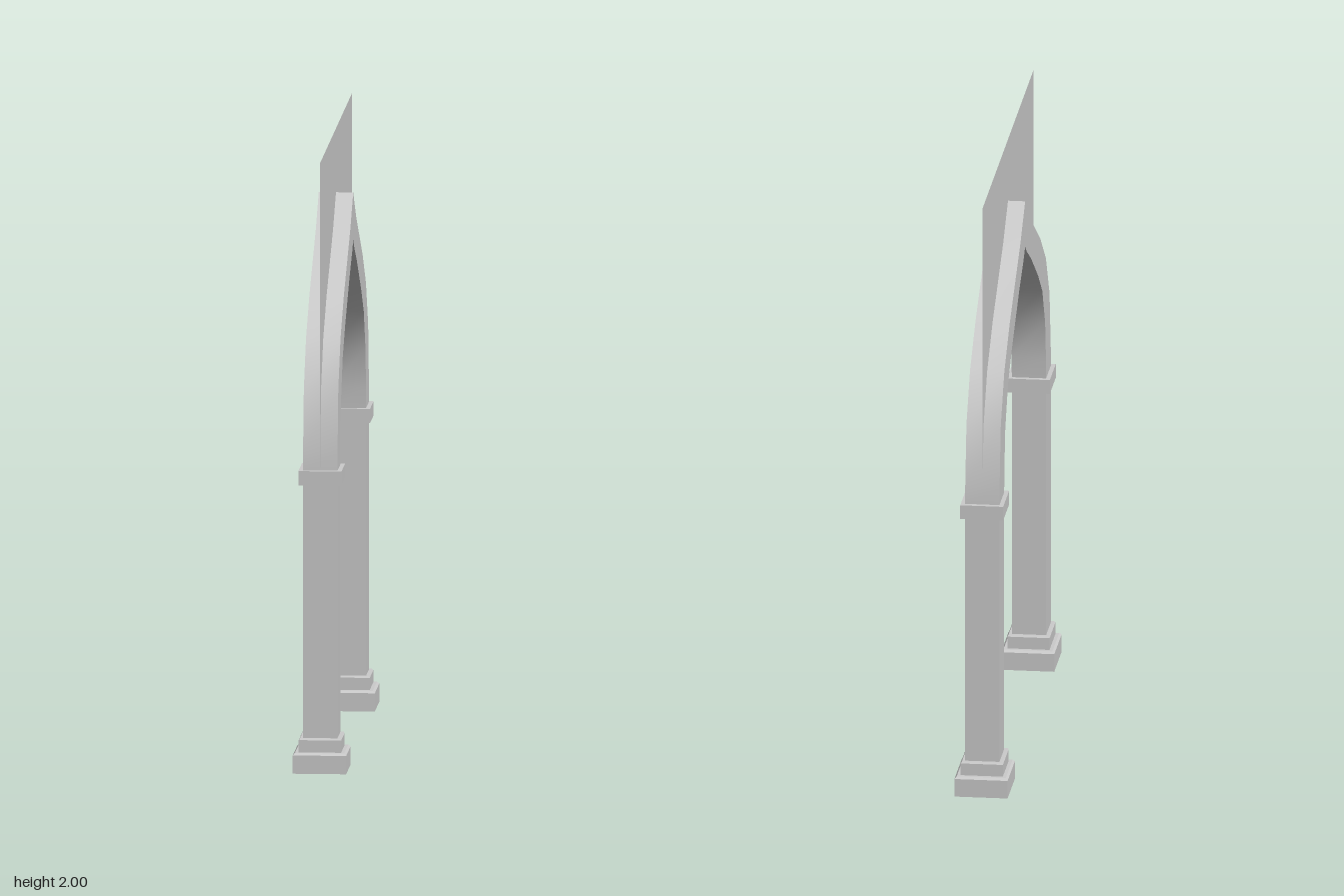
import * as THREE from 'three';
import { toCreasedNormals } from 'three/addons/utils/BufferGeometryUtils.js';

const HALF_X = 0.056, HALF_Z = 0.066, PILLAR_Z = 0.648;

// Half of the pointed arch, from springing to apex, as [z, y]
const OUTER = [[0.714, 0.985], [0.711, 1.05], [0.677, 1.25], [0.577, 1.402], [0.423, 1.52], [0.132, 1.69], [0, 1.79]];
const INNER = [[0.582, 0.985], [0.577, 1.06], [0.555, 1.19], [0.476, 1.325], [0.36, 1.415], [0.164, 1.54], [0.042, 1.605], [0, 1.635]];

// Mirror a half curve into a full span, left to right
const span = (half) => [...half.map(([z, y]) => new THREE.Vector2(-z, y)),
  ...half.slice(0, -1).reverse().map(([z, y]) => new THREE.Vector2(z, y))];

// Square pillar shell: profile of [scale, y], open at the bottom
function pillarGeometry() {
  const profile = [
    [1.55, 0], [1.55, 0.06], [1.43, 0.067], [1.23, 0.067], // plinth
    [1.23, 0.107], [1.17, 0.112], [1, 0.112], // upper base step
    [1, 0.943], [1.25, 0.943], [1.25, 0.99], [0.95, 0.99], // shaft and capital
  ];
  const points = profile.map(([s, y]) => new THREE.Vector2(s * Math.SQRT2, y));
  return new THREE.LatheGeometry(points, 4, Math.PI / 4).scale(HALF_X, 1, HALF_Z);
}

export function createModel() {
  const group = new THREE.Group();
  const add = (name, geometry, options = {}) => {
    const mesh = new THREE.Mesh(geometry, new THREE.MeshStandardMaterial({ color: 0xcccccc, ...options }));
    mesh.name = name;
    group.add(mesh);
    return mesh;
  };

  // Pillars with base and capital
  const pillar = pillarGeometry();
  for (const side of [1, -1]) {
    add(side > 0 ? 'frontPillar' : 'backPillar', pillar, { flatShading: true, side: THREE.DoubleSide })
      .position.z = side * PILLAR_Z;
  }

  // Pointed arch band
  const band = new THREE.Shape([...span(OUTER), ...span(INNER).reverse()]);
  const arch = new THREE.ExtrudeGeometry(band, { depth: HALF_X * 2, bevelEnabled: false })
    .translate(0, 0, -HALF_X).rotateY(Math.PI / 2);
  add('arch', toCreasedNormals(arch, 0.75));

  // Thin wall filling the space above the arch
  const wall = new THREE.Shape([...span(OUTER), new THREE.Vector2(0.714, 2), new THREE.Vector2(-0.714, 2)]);
  add('wallPanel', new THREE.ShapeGeometry(wall).rotateY(Math.PI / 2), { side: THREE.DoubleSide });

  return group;
}
